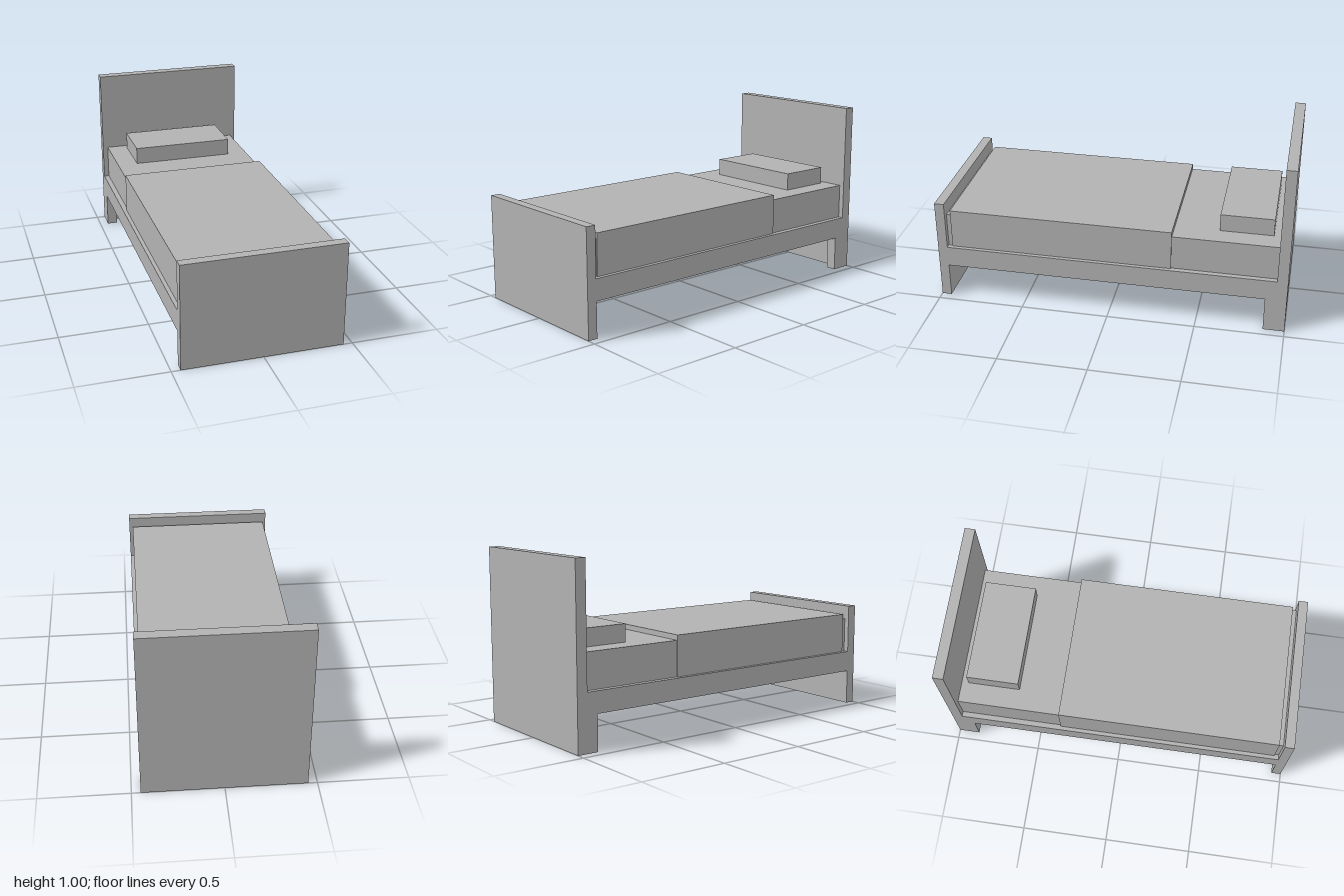
import * as THREE from 'three';

export function createModel() {
  const bed = new THREE.Group();
  bed.name = 'bed';

  const grey = new THREE.MeshStandardMaterial({ color: 0xb2b2b2 });
  grey.name = 'plain grey';

  // Box given by its extents along each axis
  function box(name, [x0, x1], [y0, y1], [z0, z1]) {
    const mesh = new THREE.Mesh(new THREE.BoxGeometry(x1 - x0, y1 - y0, z1 - z0), grey);
    mesh.position.set((x0 + x1) / 2, (y0 + y1) / 2, (z0 + z1) / 2);
    mesh.name = name;
    bed.add(mesh);
  }

  // End boards reach the floor
  box('headboard', [-0.45, 0.45], [0, 1], [-1, -0.94]);
  box('footboard', [-0.45, 0.45], [0, 0.6], [0.945, 1]);

  // Base with two short legs against the headboard
  box('bedFrame', [-0.45, 0.45], [0.2, 0.32], [-0.94, 0.945]);
  box('rearLegLeft', [0.39, 0.45], [0, 0.2], [-0.94, -0.88]);
  box('rearLegRight', [-0.45, -0.39], [0, 0.2], [-0.94, -0.88]);

  // Bedding
  box('mattress', [-0.42, 0.42], [0.32, 0.52], [-0.94, 0.945]);
  box('blanket', [-0.428, 0.428], [0.32, 0.55], [-0.35, 0.92]);
  box('pillow', [-0.3, 0.3], [0.52, 0.62], [-0.9, -0.6]);

  return bed;
}
